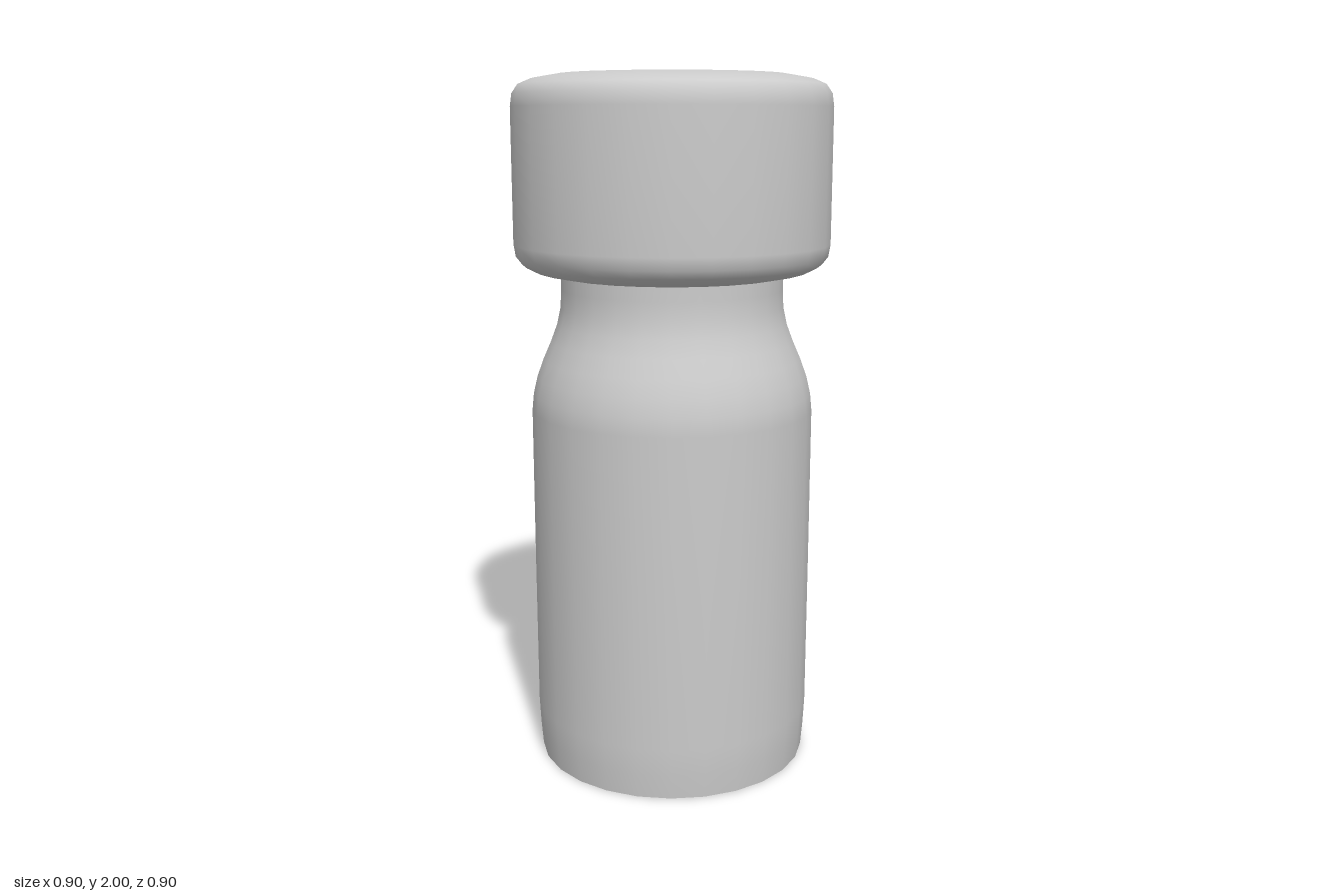
import * as THREE from 'three';

const SIDES = 26;
const material = new THREE.MeshStandardMaterial({ color: 0xcccccc });

// Smooth turned part from [radius, height] pairs, listed bottom to top
function turned(name, profile) {
  const points = profile.map(([r, y]) => new THREE.Vector2(r, y));
  const mesh = new THREE.Mesh(new THREE.LatheGeometry(points, SIDES), material);
  mesh.name = name;
  return mesh;
}

export function createModel() {
  const model = new THREE.Group();
  model.name = 'bottle';

  // Body: slight taper at the foot, sloping shoulder, narrow neck up into the cap
  model.add(turned('body', [
    [0.398, 0], [0.404, 0.07], [0.408, 0.15], [0.409, 0.6], [0.409, 1.05],
    [0.404, 1.1], [0.392, 1.15], [0.374, 1.2], [0.352, 1.25], [0.333, 1.3],
    [0.322, 1.35], [0.32, 1.4], [0.32, 1.5],
  ]));

  // Flat base with a crisp rim, its corners turned to meet the body
  const base = new THREE.Mesh(new THREE.CircleGeometry(0.398, SIDES, Math.PI / 2), material);
  base.rotation.x = Math.PI / 2;
  base.name = 'base';
  model.add(base);

  // Cap: rounded top and bottom edges, underside closing onto the neck
  model.add(turned('cap', [
    [0.3, 1.44], [0.33, 1.441], [0.39, 1.453], [0.428, 1.472], [0.446, 1.495],
    [0.452, 1.53], [0.452, 1.72], [0.452, 1.91], [0.447, 1.945], [0.43, 1.97],
    [0.395, 1.985], [0.32, 1.998], [0.25, 2], [0, 2],
  ]));

  return model;
}
